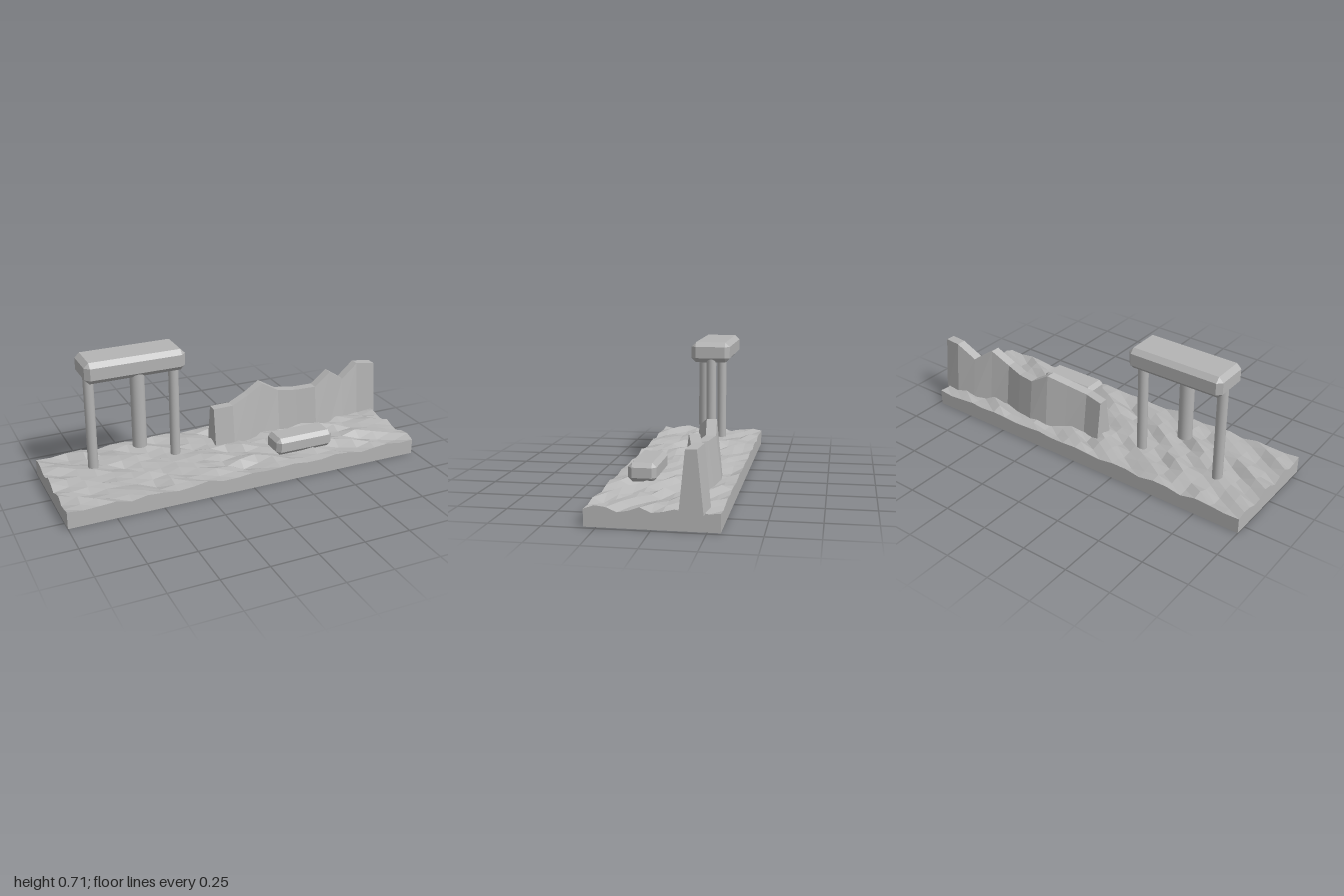
import * as THREE from 'three';
import { ConvexGeometry } from 'three/addons/geometries/ConvexGeometry.js';

const stone = new THREE.MeshStandardMaterial({ color: 0xb4b4b4 });
stone.name = 'stone grey';

function part(name, geometry, x = 0, y = 0, z = 0) {
  const mesh = new THREE.Mesh(geometry, stone);
  mesh.name = name;
  mesh.position.set(x, y, z);
  return mesh;
}

// Box with every edge and corner cut off by c
function chamferBox(w, h, d, c) {
  const points = [];
  for (const sx of [-1, 1]) for (const sy of [-1, 1]) for (const sz of [-1, 1]) {
    const [x, y, z] = [w / 2, h / 2, d / 2];
    for (const p of [[x, y - c, z - c], [x - c, y, z - c], [x - c, y - c, z]]) {
      points.push(new THREE.Vector3(p[0] * sx, p[1] * sy, p[2] * sz));
    }
  }
  return new ConvexGeometry(points);
}

// Slab whose top is broken into diagonal rocky ridges
function groundGeometry() {
  const box = new THREE.BoxGeometry(0.62, 0.09, 1.98, 12, 1, 24).rotateY(Math.PI / 2);
  const pos = box.attributes.position;
  for (let i = 0; i < pos.count; i++) {
    const x = pos.getX(i) - 0.01, z = pos.getZ(i);
    pos.setX(i, x);
    if (pos.getY(i) < 0) { pos.setY(i, 0); continue; }
    const hash = Math.sin(Math.round(x * 100) * 12.99 + Math.round(z * 100) * 78.23) * 43758.55;
    const noise = hash - Math.floor(hash) - 0.5;
    const edge = Math.abs(z) > 0.3 ? 0.5 : 1;
    pos.setY(i, 0.087 + edge * (0.014 * Math.sin(24 * x - 31 * z - 1.27) + 0.024 * noise));
  }
  const flat = box.toNonIndexed();
  flat.computeVertexNormals();
  return flat;
}

// Winding wall: tapered cross-sections with a jagged crest
function wallGeometry() {
  const crest = [0.295, 0.305, 0.337, 0.376, 0.312, 0.305, 0.316, 0.382, 0.31, 0.382, 0.373];
  const centre = [-0.118, -0.1, -0.13, -0.168, -0.178, -0.155, -0.127, -0.146, -0.18, -0.2, -0.181];
  const sections = crest.map((h, i) => {
    const x = -0.055 + 1.055 * i / 10, z = centre[i];
    return [[x, 0.08, z + 0.056], [x, h, z + 0.026], [x, h, z - 0.026], [x, 0.08, z - 0.056]];
  });
  const out = [];
  const quad = (a, b, c, d) => out.push(...a, ...b, ...c, ...a, ...c, ...d);
  for (let i = 0; i < 10; i++) {
    const s = sections[i], t = sections[i + 1];
    for (let k = 0; k < 4; k++) {
      const n = (k + 1) % 4;
      quad(s[k], t[k], t[n], s[n]);
    }
  }
  const [a, b, c, d] = sections[0], [e, f, g, h] = sections[10];
  quad(a, b, c, d);
  quad(h, g, f, e);
  const geometry = new THREE.BufferGeometry();
  geometry.setAttribute('position', new THREE.Float32BufferAttribute(out, 3));
  geometry.computeVertexNormals();
  return geometry;
}

export function createModel() {
  const model = new THREE.Group();
  model.name = 'rockyRuin';
  model.add(part('ground', groundGeometry()));
  model.add(part('wall', wallGeometry()));

  // Raised lintel with two standing posts and one hanging pillar
  model.add(part('lintel', chamferBox(0.535, 0.113, 0.215, 0.025), -0.52, 0.6565, -0.083));
  for (const [name, x] of [['rightPost', -0.747], ['leftPost', -0.286]]) {
    model.add(part(name, new THREE.CylinderGeometry(0.027, 0.027, 0.56, 24), x, 0.35, -0.087));
  }
  model.add(part('hangingPillar', new THREE.CylinderGeometry(0.038, 0.038, 0.425, 24), -0.508, 0.4175, -0.022));

  // Low block lying in front of the wall
  model.add(part('lowBlock', chamferBox(0.335, 0.096, 0.144, 0.022), 0.353, 0.143, 0.143));
  return model;
}
